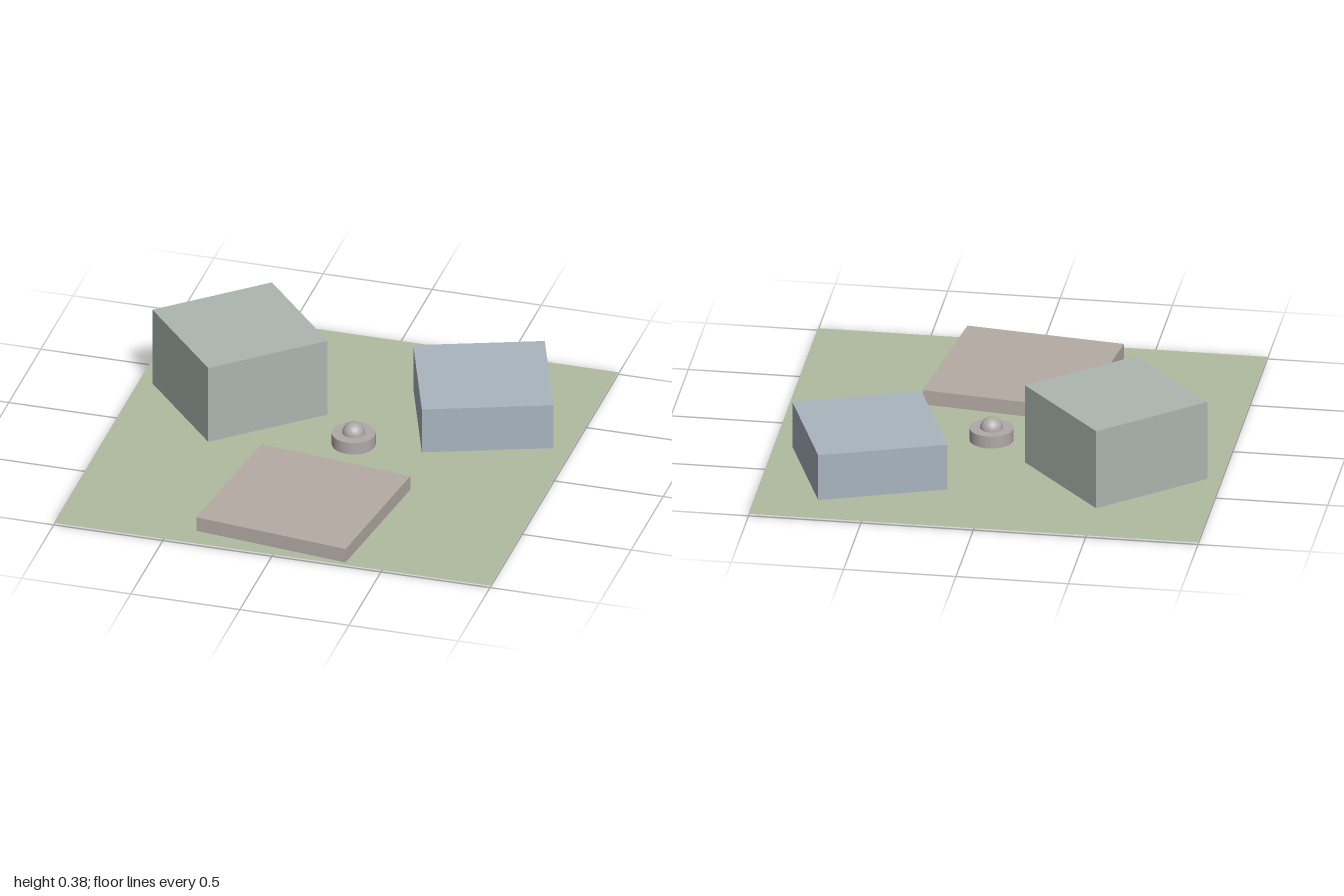
import * as THREE from 'three';

const paint = (color, side = THREE.FrontSide) => {
  const m = new THREE.MeshStandardMaterial({ color });
  m.side = side;
  return m;
};

export function createModel() {
  const group = new THREE.Group();

  const add = (name, geometry, material, x, y, z, turn = 0) => {
    const mesh = new THREE.Mesh(geometry, material);
    mesh.name = name;
    mesh.position.set(x, y, z);
    mesh.rotation.y = THREE.MathUtils.degToRad(turn);
    group.add(mesh);
  };

  // thin square ground sheet
  const sheet = new THREE.PlaneGeometry(2, 2).rotateX(-Math.PI / 2);
  add('ground', sheet, paint(0xb0bca0, THREE.DoubleSide), 0, 0.01, 0);

  // square blocks, each sunk slightly through the ground
  const blocks = [
    // name, side, bottom, top, x, z, turn, color
    ['tallBlock', 0.58, 0, 0.382, -0.528, -0.3, 41.4, 0xacb6b0],
    ['middleBlock', 0.58, 0.004, 0.226, 0.547, -0.437, 20.1, 0xa9b5bf],
    ['lowSlab', 0.716, 0.008, 0.078, 0.021, 0.58, -7.1, 0xb5aba5],
  ];
  for (const [name, side, bottom, top, x, z, turn, color] of blocks) {
    const box = new THREE.BoxGeometry(side, top - bottom, side);
    add(name, box, paint(color), x, (top + bottom) / 2, z, turn);
  }

  // round pedestal with a ball set into its top
  const stone = paint(0xb0a9aa);
  add('pedestal', new THREE.CylinderGeometry(0.097, 0.097, 0.06, 48), stone, 0.065, 0.037, -0.055);
  add('ball', new THREE.SphereGeometry(0.05, 32, 20), stone, 0.065, 0.067, -0.055);

  return group;
}
